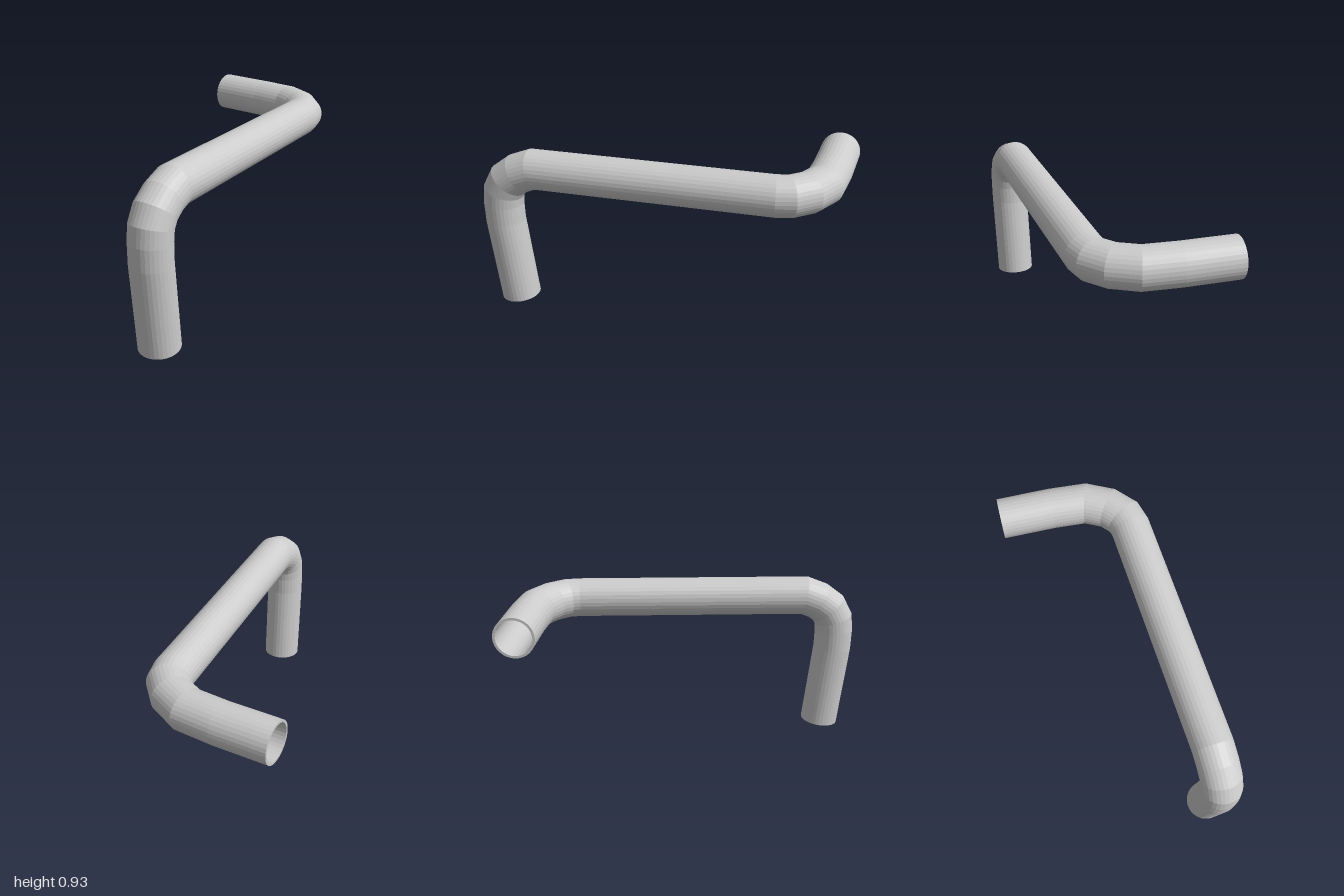
import * as THREE from 'three';

const SIDES = 32;
const OUTER = 0.11;
const INNER = 0.097;

// Centre line: front leg, front bend, long shaft, rear bend, rear leg
const PATH = [
  [0.285, 0.013, 0.837], [0.285, 0.495, 0.888], [0.285, 0.605, 0.89],
  [0.285, 0.677, 0.882], [0.285, 0.74, 0.848], [0.285, 0.787, 0.785],
  [0.285, 0.82, 0.70],
  [0.285, 0.82, -0.615], [0.27, 0.82, -0.687], [0.205, 0.82, -0.77],
  [0.09, 0.82, -0.838], [-0.095, 0.82, -0.865], [-0.388, 0.82, -0.89],
].map((p) => new THREE.Vector3(...p));

// Rings of a round pipe, mitred at every joint of the path
function pipeRings(path, radius) {
  const last = path.length - 1;
  const dirs = path.slice(1).map((p, i) => p.clone().sub(path[i]).normalize());
  const u = new THREE.Vector3(1, 0, 0);
  const v = dirs[0].clone().cross(u);
  let ring = Array.from({ length: SIDES }, (_, j) => {
    const a = (j / SIDES) * Math.PI * 2;
    return path[0].clone()
      .addScaledVector(u, Math.cos(a) * radius)
      .addScaledVector(v, Math.sin(a) * radius);
  });
  const rings = [ring];
  for (let i = 1; i <= last; i++) {
    const d = dirs[i - 1];
    const n = d.clone().add(dirs[Math.min(i, last - 1)]).normalize();
    // slide each point along the segment to the mitre plane
    ring = ring.map((p) =>
      p.clone().addScaledVector(d, path[i].clone().sub(p).dot(n) / d.dot(n)));
    rings.push(ring);
  }
  return rings;
}

// Outer skin, end rim, inner skin and start rim as one closed loop of rings
function hollowPipe(path, outer, inner) {
  const rings = [...pipeRings(path, outer), ...pipeRings(path, inner).reverse()];
  const positions = rings.flatMap((ring) => ring.flatMap((p) => p.toArray()));
  const index = [];
  for (let i = 0; i < rings.length; i++) {
    const next = (i + 1) % rings.length;
    for (let j = 0; j < SIDES; j++) {
      const k = (j + 1) % SIDES;
      const a = i * SIDES + j, b = i * SIDES + k;
      const c = next * SIDES + j, d = next * SIDES + k;
      index.push(a, b, c, b, d, c);
    }
  }
  const geometry = new THREE.BufferGeometry();
  geometry.setAttribute('position', new THREE.Float32BufferAttribute(positions, 3));
  geometry.setIndex(index);
  geometry.computeVertexNormals();
  return geometry;
}

export function createModel() {
  const group = new THREE.Group();
  group.name = 'bentPipe';
  const material = new THREE.MeshStandardMaterial({ color: 0xcccccc, flatShading: true });
  const pipe = new THREE.Mesh(hollowPipe(PATH, OUTER, INNER), material);
  pipe.name = 'pipe';
  group.add(pipe);
  return group;
}
